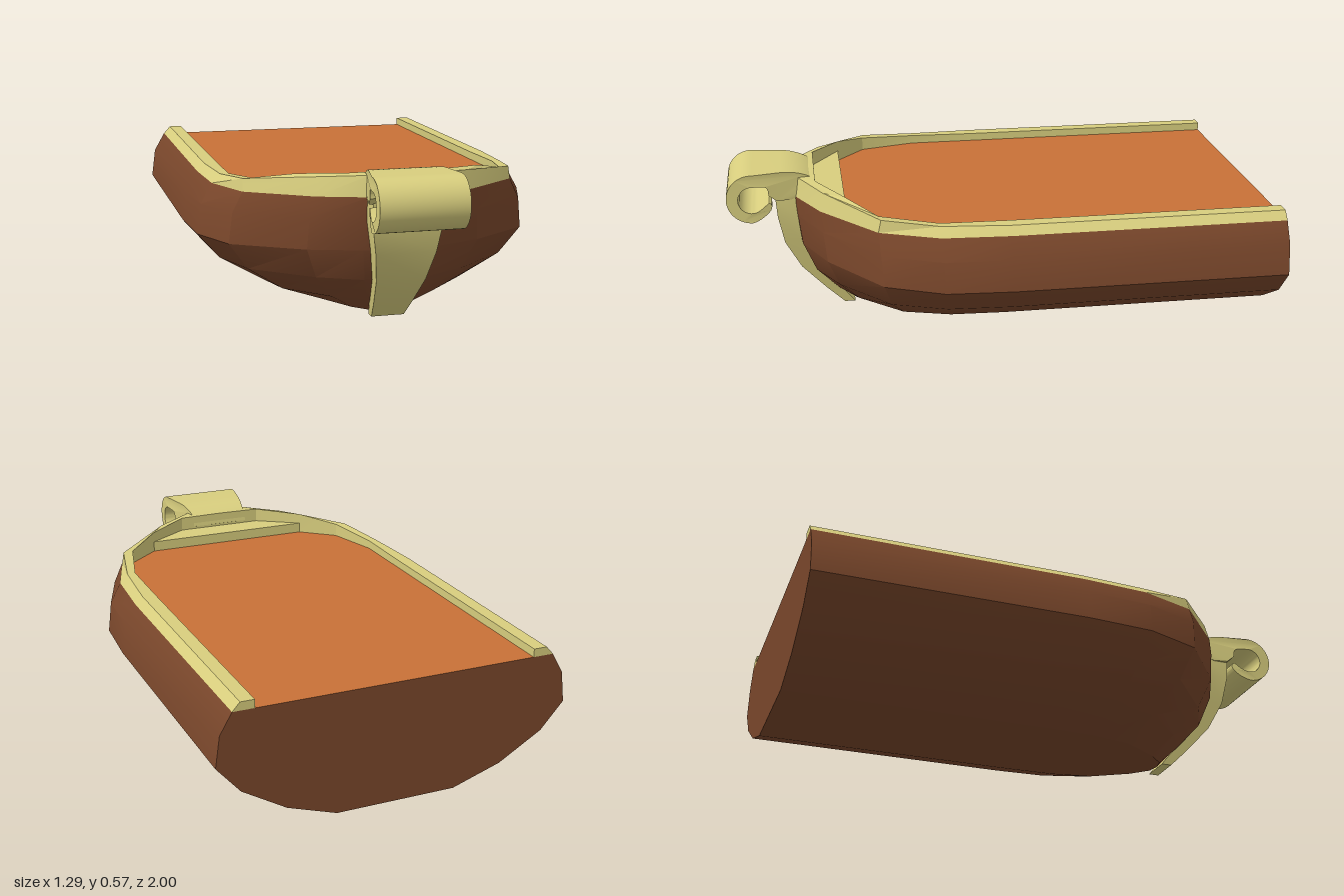
import * as THREE from 'three';
import { toCreasedNormals } from 'three/addons/utils/BufferGeometryUtils.js';

const material = (name, color) => new THREE.MeshStandardMaterial({ name, color });

function geometryFrom(points, index) {
  const g = new THREE.BufferGeometry();
  g.setAttribute('position', new THREE.Float32BufferAttribute(points.flat(), 3));
  g.setIndex(index);
  return toCreasedNormals(g, 0.4);
}

// Skin between successive cross-sections; closed sections also get end caps
function loft(sections, closed) {
  const n = sections[0].length, index = [];
  for (let i = 0; i < sections.length - 1; i++) {
    for (let j = 0; j < (closed ? n : n - 1); j++) {
      const k = (j + 1) % n;
      const a = i * n + j, b = i * n + k, c = a + n, d = b + n;
      index.push(a, b, c, b, d, c);
    }
  }
  if (closed) {
    const e = (sections.length - 1) * n;
    for (let k = 1; k < n - 1; k++) index.push(0, k + 1, k, e, e + k, e + k + 1);
  }
  return geometryFrom(sections.flat(), index);
}

// Flat convex polygon
function fan(points) {
  const index = [];
  for (let k = 1; k < points.length - 1; k++) index.push(0, k, k + 1);
  return geometryFrom(points, index);
}

// Continue stations from the left side round the bow to the right side
const flip = (section) => section.map(([x, y, z]) => [-x, y, z]);
const mirrored = (half) => [...half, ...half.slice(0, -1).reverse().map(flip)];

export function createModel() {
  const group = new THREE.Group();
  const brown = material('hullBrown', 0x7a472b);
  const orange = material('deckOrange', 0xc87137);
  const straw = material('trimStraw', 0xd8ce7e);
  const add = (name, geometry, mat) => {
    const mesh = new THREE.Mesh(geometry, mat);
    mesh.name = name;
    group.add(mesh);
  };

  // Hull: plan outline (width fraction, z, bow rise) scaled for each level
  const plan = [[1, -1, 0], [1, 0, 0], [0.975, 0.25, 0], [0.85, 0.465, 0.005],
    [0.48, 0.66, 0.014], [0.205, 0.748, 0.02], [0, 0.76, 0.02]];
  // Level: y, half width, bow z
  const levels = [[0.01, 0.22, 0.54], [0.07, 0.40, 0.605], [0.165, 0.56, 0.69],
    [0.262, 0.645, 0.738], [0.375, 0.63, 0.752], [0.45, 0.587, 0.76]];
  const hull = mirrored(plan.map(([f, z, rise]) => levels.map(([y, w, bow]) =>
    [f * w, y + (y > 0.2 ? rise : 0), z > 0 ? z * bow / 0.76 : z])));
  add('hull', loft(hull, false), brown);
  add('hullBottom', fan(hull.map((s) => s[0])), brown);
  add('hullBack', fan([...hull[0], ...flip(hull[0]).reverse()].reverse()), brown);

  // Gunwale rail: top outer x, z, top y, inner x, z
  const railTop = [[0.56, -1, 0.48, 0.51, -1], [0.56, 0, 0.48, 0.51, 0],
    [0.542, 0.25, 0.483, 0.51, 0.25], [0.495, 0.455, 0.5, 0.455, 0.46],
    [0.27, 0.648, 0.53, 0.33, 0.567], [0.115, 0.737, 0.543, 0.17, 0.672],
    [0, 0.75, 0.545, 0, 0.672]];
  const rail = mirrored(railTop.map(([ox, oz, y, ix, iz], i) =>
    [hull[i][5], [ox, y, oz], [ix, y, iz], [ix, 0.449, iz]]));
  add('rail', loft(rail, true), straw);

  // Deck inside the rail
  add('deck', fan(rail.map((s) => [s[3][0] * 1.02, 0.45, s[3][2]]).reverse()), orange);

  // Raised foredeck at the bow
  const foredeck = new THREE.Shape([[-0.34, -0.567], [0.34, -0.567], [0.18, -0.68], [-0.18, -0.68]]
    .map((p) => new THREE.Vector2(...p)));
  const foredeckGeometry = new THREE.ExtrudeGeometry(foredeck, { depth: 0.045, bevelEnabled: false });
  foredeckGeometry.rotateX(-Math.PI / 2).translate(0, 0.445, 0);
  add('foredeck', foredeckGeometry, straw);

  // Stem strip up the bow: y, outer z, inner z
  const stem = [[0, 0.575, 0.535], [0.07, 0.645, 0.59], [0.17, 0.735, 0.675], [0.28, 0.793, 0.725],
    [0.39, 0.815, 0.74], [0.46, 0.82, 0.74], [0.53, 0.82, 0.74]].map(([y, outer, inner]) => {
    const w = 0.06 + 0.17 * Math.min(y, 0.38);
    return [[-w, y, inner], [-w, y, outer], [w, y, outer], [w, y, inner]];
  });
  add('stem', loft(stem, true), straw);

  // Curled hook on top of the stem, drawn in (z, y) and widened forwards
  const hook = new THREE.Shape();
  hook.moveTo(0.67, 0.5);
  hook.lineTo(0.675, 0.535);
  hook.quadraticCurveTo(0.73, 0.57, 0.8, 0.57);
  hook.lineTo(0.9, 0.569);
  hook.absarc(0.907, 0.476, 0.093, Math.PI / 2, -Math.PI / 2, true);
  hook.quadraticCurveTo(0.87, 0.39, 0.838, 0.425);
  hook.quadraticCurveTo(0.825, 0.45, 0.845, 0.455);
  hook.lineTo(0.868, 0.435);
  hook.absarc(0.906, 0.472, 0.051, -2.3, Math.PI / 2, false);
  hook.lineTo(0.86, 0.52);
  hook.quadraticCurveTo(0.842, 0.515, 0.845, 0.485);
  hook.lineTo(0.815, 0.46);
  hook.lineTo(0.76, 0.46);
  hook.closePath();
  const hookGeometry = new THREE.ExtrudeGeometry(hook, { depth: 1, bevelEnabled: false, curveSegments: 12 });
  hookGeometry.translate(0, 0, -0.5).rotateY(-Math.PI / 2);
  const p = hookGeometry.attributes.position;
  for (let i = 0; i < p.count; i++) {
    const t = THREE.MathUtils.clamp((p.getZ(i) - 0.7) / 0.2, 0, 1);
    p.setX(i, p.getX(i) * 2 * (0.117 + 0.037 * t));
  }
  add('hook', toCreasedNormals(hookGeometry, 0.5), straw);

  return group;
}
